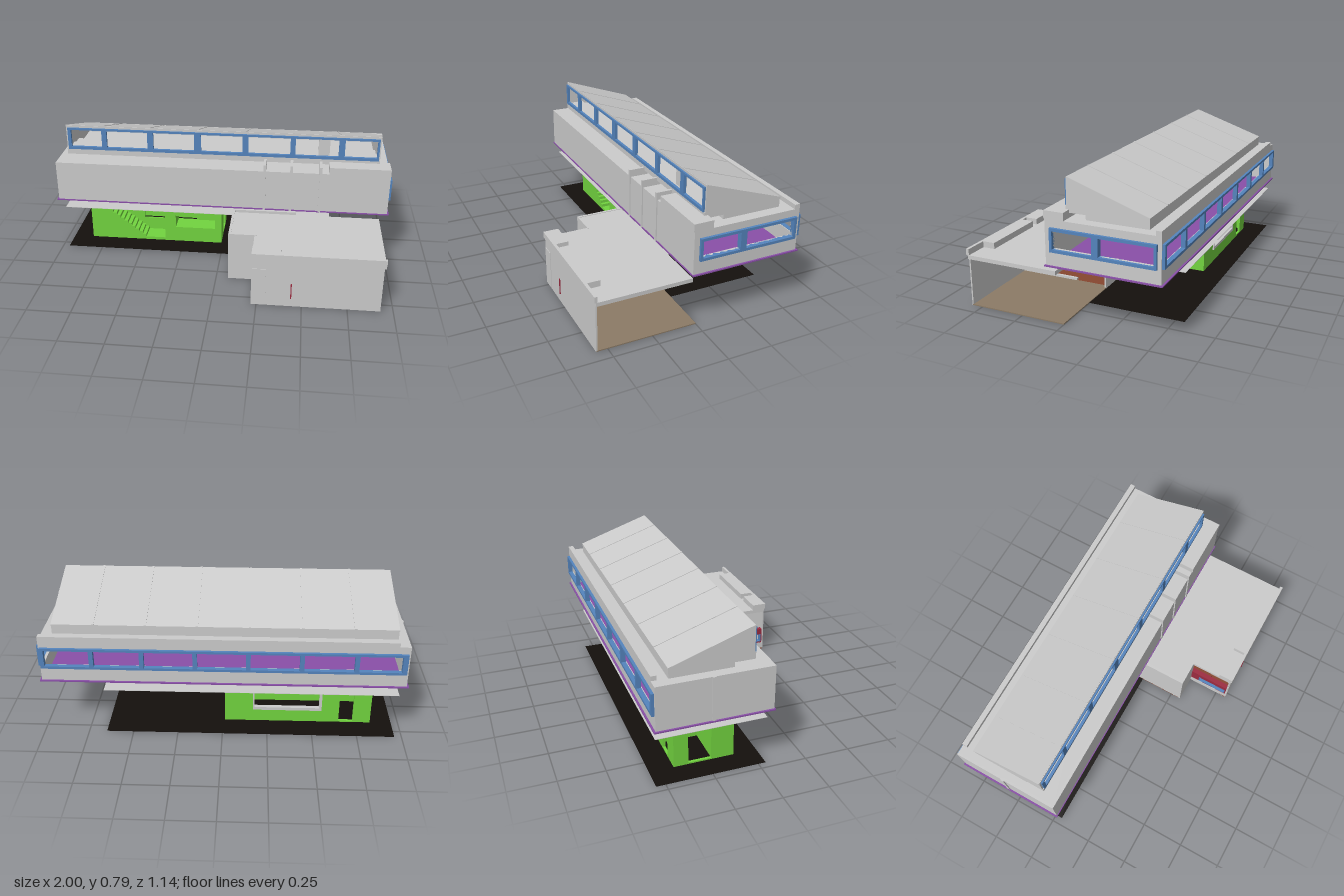
import * as THREE from 'three';

const mat = (color) => new THREE.MeshStandardMaterial({ color, side: THREE.DoubleSide });
const M = {
  grey: mat(0xcccccc), green: mat(0x72d43f), blue: mat(0x5484bd), purple: mat(0x8a50a8),
  red: mat(0x9c2c40), black: mat(0x14100d), tan: mat(0x8c7b66), rust: mat(0x87462f),
};

export function createModel() {
  const root = new THREE.Group();
  const add = (parent, name, geo, m) => {
    const mesh = new THREE.Mesh(geo, m);
    mesh.name = name;
    parent.add(mesh);
    return mesh;
  };
  const group = (name) => {
    const g = new THREE.Group();
    g.name = name;
    root.add(g);
    return g;
  };
  // box given by its limits
  const box = (p, name, x0, x1, y0, y1, z0, z1, m = M.grey) => {
    const b = add(p, name, new THREE.BoxGeometry(x1 - x0, y1 - y0, z1 - z0), m);
    b.position.set((x0 + x1) / 2, (y0 + y1) / 2, (z0 + z1) / 2);
    return b;
  };
  const poly = (pts) => pts.map(([a, b]) => new THREE.Vector2(a, b));
  const rect = (a0, a1, b0, b1) => [[a0, b0], [a1, b0], [a1, b1], [a0, b1]];
  const extrude = (outline, holes, depth) => {
    const s = new THREE.Shape(poly(outline));
    for (const h of holes) s.holes.push(new THREE.Path(poly(h)));
    return new THREE.ExtrudeGeometry(s, { depth, bevelEnabled: false });
  };
  // panel facing z: outline in x, y, from z0 to z1
  const panelZ = (p, name, outline, holes, z0, z1, m = M.grey) => {
    add(p, name, extrude(outline, holes, z1 - z0), m).position.z = z0;
  };
  // panel facing x: outline in z, y, from x0 to x1
  const panelX = (p, name, outline, holes, x0, x1, m = M.grey) => {
    add(p, name, extrude(outline, holes, x1 - x0).rotateY(-Math.PI / 2), m).position.x = x1;
  };
  // horizontal sheet: outline in x, -z
  const sheet = (p, name, outline, holes, y, t, m = M.grey) => {
    add(p, name, extrude(outline, holes, t).rotateX(-Math.PI / 2), m).position.y = y;
  };

  // ground sheet with stairwell hole, and the upper terrace sheet
  const site = group('site');
  sheet(site, 'groundSheet', rect(-0.96, 0.65, -0.04, 0.55), [rect(-0.82, -0.42, 0.1, 0.2)], 0, 0.002, M.black);
  sheet(site, 'terraceSheet', rect(-0.96, 0.65, -0.04, 0.55), [], 0.273, 0.002);

  // green ground-floor block
  const lower = group('lowerBlock');
  const stair = [[-0.37, 0.02], [-0.37, 0.255], [-0.77, 0.255]];
  const steps = 13;
  for (let i = 0; i < steps; i++) {
    const y = 0.255 - (0.235 * (i + 1)) / steps;
    stair.push([-0.77 + (0.3 * i) / steps, y], [-0.77 + (0.3 * (i + 1)) / steps, y]);
  }
  const front = rect(-0.84, -0.01, 0, 0.27);
  panelZ(lower, 'stairWall', front, [stair, rect(-0.3, -0.05, 0.1, 0.18)], -0.2, -0.09, M.green);
  panelZ(lower, 'innerWall', front,
    [rect(-0.52, -0.372, 0.1, 0.23), rect(-0.3, -0.18, 0.1, 0.18)], -0.21, -0.2, M.green);
  panelZ(lower, 'backWall', front,
    [rect(-0.56, -0.17, 0.09, 0.235), rect(-0.74, -0.66, 0.01, 0.235)], -0.42, -0.405, M.green);
  panelZ(lower, 'backWindowFrame', rect(-0.56, -0.17, 0.08, 0.235),
    [rect(-0.545, -0.178, 0.098, 0.228)], -0.428, -0.405);
  for (const x of [-0.84, -0.025]) {
    panelX(lower, 'endWall', rect(-0.41, -0.205, 0, 0.27), [rect(-0.34, -0.215, 0.01, 0.255)], x, x + 0.015, M.green);
  }
  box(lower, 'partition', -0.61, -0.6, 0, 0.27, -0.41, -0.2, M.green);
  box(lower, 'roofSlab', -0.86, 0.01, 0.27, 0.318, -0.44, -0.075);
  box(lower, 'roofCurb', -0.84, -0.38, 0.318, 0.325, -0.42, -0.09, M.green);
  box(lower, 'slabPad', -0.7, -0.4, 0.325, 0.335, -0.21, -0.12);

  // long upper storey
  const upper = group('upperStorey');
  box(upper, 'floor', -1, 0.99, 0.333, 0.34, -0.565, 0.065, M.purple);
  box(upper, 'frontWall', -0.99, 0.98, 0.335, 0.58, 0.045, 0.06);
  box(upper, 'blindEndWall', -0.99, -0.975, 0.335, 0.58, -0.555, 0.06);
  box(upper, 'endStrip', -0.996, -0.99, 0.335, 0.58, -0.27, -0.25);
  box(upper, 'roof', -0.99, 0.98, 0.565, 0.58, -0.555, 0.06);
  panelZ(upper, 'backWall', rect(-0.99, 0.98, 0.335, 0.58), [rect(-0.965, 0.96, 0.43, 0.528)], -0.555, -0.54);
  panelX(upper, 'windowEndWall', rect(-0.555, 0.06, 0.335, 0.58), [rect(-0.52, 0.015, 0.43, 0.525)], 0.965, 0.98);
  panelX(upper, 'endWindowFrame', rect(-0.535, 0.03, 0.415, 0.54),
    [rect(-0.52, -0.235, 0.43, 0.525), rect(-0.2, 0.015, 0.43, 0.525)], 0.965, 0.995, M.blue);
  const backEdges = [-0.965, -0.715, -0.425, -0.14, 0.145, 0.43, 0.7, 0.965];
  const backHoles = backEdges.slice(1).map((e, i) => rect(backEdges[i] + 0.012, e - 0.012, 0.432, 0.527));
  panelZ(upper, 'backWindowFrame', rect(-0.98, 0.975, 0.418, 0.54), backHoles, -0.57, -0.545, M.blue);
  box(upper, 'backParapet', -0.93, 0.98, 0.58, 0.605, -0.555, -0.525);
  box(upper, 'frontParapet', 0.63, 0.98, 0.58, 0.622, -0.045, 0.065);
  // ribs folding over the front edge
  const rib = [[-0.045, 0.58], [0.06, 0.58], [0.06, 0.335], [0.067, 0.335], [0.067, 0.622], [-0.045, 0.622]];
  for (const x of [0.25, 0.405, 0.575]) panelX(upper, 'rib', rib, [], x, x + 0.015);

  // sloping rooflight
  const light = group('rooflight');
  const side = [[-0.035, 0.785], [-0.47, 0.635], [-0.47, 0.58], [-0.135, 0.58], [-0.135, 0.605], [-0.035, 0.625]];
  for (const x of [-0.935, 0.908]) panelX(light, 'sideWall', side, [], x, x + 0.012);
  const slope = [[-0.033, 0.787], [-0.472, 0.636], [-0.472, 0.626], [-0.033, 0.777]];
  panelX(light, 'slopingRoof', slope, [], -0.937, 0.922);
  box(light, 'backCurb', -0.935, 0.92, 0.58, 0.635, -0.47, -0.46);
  box(light, 'base', -0.935, 0.92, 0.58, 0.625, -0.225, -0.135);
  box(light, 'sill', -0.935, 0.92, 0.605, 0.64, -0.135, -0.025);
  const panes = [[-0.905, -0.72], [-0.69, -0.445], [-0.41, -0.165], [-0.125, 0.12], [0.155, 0.4], [0.43, 0.68], [0.715, 0.9]];
  panelZ(light, 'greyFrame', rect(-0.935, 0.92, 0.625, 0.785), [rect(-0.915, 0.905, 0.645, 0.765)], -0.037, -0.03);
  panelZ(light, 'windowFrame', rect(-0.925, 0.912, 0.638, 0.772),
    panes.map(([a, b]) => rect(a, b, 0.655, 0.76)), -0.036, -0.02, M.blue);
  box(light, 'innerPost', 0.565, 0.63, 0.625, 0.75, -0.09, -0.06);
  // raised seams running down the slope
  const seam = slope.slice(0, 2).concat([[-0.472, 0.639], [-0.033, 0.79]]);
  for (const x of [-0.705, -0.43, -0.145, 0.137, 0.415, 0.697]) panelX(light, 'roofSeam', seam, [], x - 0.006, x + 0.006);

  // front annex, open on its outer side
  const annex = group('annex');
  box(annex, 'outerFloor', 0.42, 0.93, 0, 0.006, 0, 0.56, M.tan);
  sheet(annex, 'innerFloor', [[0.07, 0], [0.42, 0], [0.42, -0.56], [0.22, -0.56], [0.22, -0.3], [0.07, -0.3]], [], 0, 0.006, M.rust);
  box(annex, 'floorCurb', 0.41, 0.425, 0, 0.02, 0.2, 0.56);
  box(annex, 'frontWall', 0.22, 0.93, 0, 0.295, 0.555, 0.563);
  box(annex, 'doorPanel', 0.225, 0.3, 0.005, 0.23, 0.563, 0.566);
  box(annex, 'doorHandle', 0.437, 0.443, 0.05, 0.145, 0.563, 0.568, M.red);
  box(annex, 'wingFront', 0.07, 0.23, 0, 0.295, 0.303, 0.312);
  box(annex, 'wingSide', 0.07, 0.085, 0, 0.295, 0, 0.31);
  box(annex, 'backWall', 0.07, 0.45, 0, 0.295, 0, 0.01);
  box(annex, 'lowSideWall', 0.22, 0.235, 0, 0.046, 0.31, 0.56);
  sheet(annex, 'roofSlab',
    [[0.07, -0.035], [0.94, -0.035], [0.94, -0.563], [0.22, -0.563], [0.22, -0.31], [0.07, -0.31]], [], 0.27, 0.022);
  box(annex, 'parapet', 0.22, 0.38, 0.292, 0.326, 0.485, 0.572);
  box(annex, 'parapet', 0.42, 0.81, 0.292, 0.326, 0.485, 0.572);
  box(annex, 'parapetEdge', 0.22, 0.94, 0.292, 0.326, 0.555, 0.572);
  // red cabinet run with a low window
  const windowHole = rect(0.365, 0.547, 0.055, 0.107);
  panelX(annex, 'cabinets', rect(0.17, 0.56, 0.046, 0.145), [windowHole], 0.222, 0.25, M.red);
  panelX(annex, 'cabinetWindowFrame', windowHole, [rect(0.369, 0.543, 0.058, 0.104)], 0.22, 0.252, M.blue);
  for (const z of [0.3, 0.365, 0.432, 0.498]) {
    if (z < 0.36) box(annex, 'cabinetJoint', 0.25, 0.252, 0.046, 0.145, z - 0.001, z + 0.001, M.black);
    else box(annex, 'cabinetJoint', 0.25, 0.252, 0.107, 0.145, z - 0.001, z + 0.001, M.black);
  }
  return root;
}
